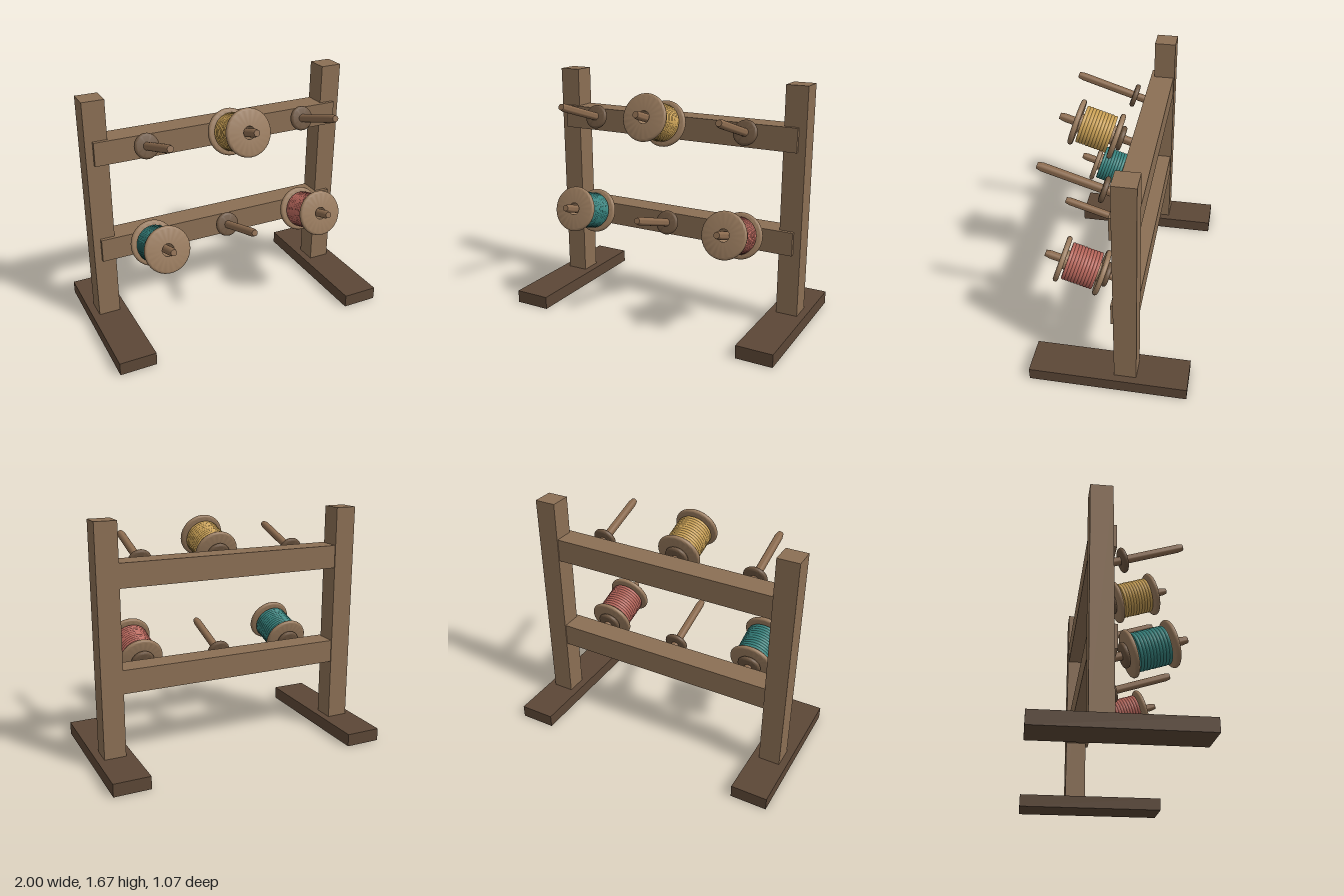
import * as THREE from 'three';
import { toCreasedNormals } from 'three/addons/utils/BufferGeometryUtils.js';

const mat = (color) => new THREE.MeshStandardMaterial({ color });
const wood = mat(0x8b6f54);
const darkWood = mat(0x5c4736);
const pegWood = mat(0x8a6a4e);
const collarWood = mat(0x6b543f);
const spoolWood = mat(0x987a5d);

function add(parent, name, geometry, material, x = 0, y = 0, z = 0) {
  const mesh = new THREE.Mesh(geometry, material);
  mesh.name = name;
  mesh.position.set(x, y, z);
  parent.add(mesh);
  return mesh;
}

// Turned part from [radius, height] pairs, listed upward on the outside
function turned(points, sides = 40) {
  const profile = points.map(([r, h]) => new THREE.Vector2(r, h));
  return toCreasedNormals(new THREE.LatheGeometry(profile, sides), 0.7);
}

// Disc with a rounded rim and an optional bore, centred on height 0
function disc(radius, thickness, bore = 0) {
  const t = thickness / 2;
  const points = [[bore, -t]];
  for (let i = 0; i <= 8; i++) {
    const a = -Math.PI / 2 + (Math.PI * i) / 8;
    points.push([radius - t + t * Math.cos(a), t * Math.sin(a)]);
  }
  points.push([bore, t]);
  if (bore) points.push([bore, -t]);
  return turned(points);
}

const BORE = 0.042;
const SPOOL_HALF = 0.138;

// Spool built along y: two flanges, a hollow core and wound thread
function makeSpool(name, color) {
  const spool = new THREE.Group();
  spool.name = name;
  for (const [label, side] of [['back', -1], ['front', 1]]) {
    add(spool, label + 'Flange', disc(0.158, 0.035, BORE), spoolWood, 0, side * SPOOL_HALF, 0);
  }
  const h = SPOOL_HALF;
  add(spool, 'core', turned([[BORE, -h], [0.065, -h], [0.065, h], [BORE, h], [BORE, -h]]), spoolWood);

  // Thread with shallow ridges from the windings
  const ridges = 10, half = 0.106, points = [[0.06, -half]];
  for (let i = 0; i <= ridges * 4; i++) {
    const r = 0.125 + 0.004 * Math.abs(Math.sin((Math.PI * i) / 4));
    points.push([r, -half + (2 * half * i) / (ridges * 4)]);
  }
  points.push([0.06, half]);
  add(spool, 'thread', turned(points), mat(color));
  return spool;
}

// Peg leaning upward out of the rail, with a collar at its root
function makePeg(name) {
  const peg = new THREE.Group();
  peg.name = name;
  peg.rotation.x = THREE.MathUtils.degToRad(72);
  add(peg, 'rod', turned([[0, -0.04], [0.028, -0.04], [0.028, 0.485], [0.021, 0.52], [0, 0.52]], 20), pegWood);
  add(peg, 'collar', disc(0.085, 0.035), collarWood, 0, 0.088, 0);
  return peg;
}

export function createModel() {
  const rack = new THREE.Group();
  rack.name = 'spoolRack';

  // Posts on long feet
  for (const [side, s] of [['left', 1], ['right', -1]]) {
    add(rack, side + 'Foot', new THREE.BoxGeometry(0.254, 0.09, 1.07), darkWood, s * 0.873, 0.045, 0);
    add(rack, side + 'Post', new THREE.BoxGeometry(0.15, 1.575, 0.15), wood, s * 0.875, 0.8775, -0.115);
  }

  // Rails, each with three pegs; some pegs hold a spool
  const rows = [
    { name: 'lower', y: 0.61, spools: [0x36827d, null, 0xb5655a] },
    { name: 'upper', y: 1.316, spools: [null, 0xc9a055, null] },
  ];
  const places = ['Right', 'Middle', 'Left'];
  for (const { name, y, spools } of rows) {
    add(rack, name + 'Rail', new THREE.BoxGeometry(1.8, 0.163, 0.168), wood, 0, y, -0.099);
    spools.forEach((color, i) => {
      const peg = makePeg(name + places[i] + 'Peg');
      peg.position.set((i - 1) * 0.577, y + 0.009, -0.015);
      rack.add(peg);
      if (color !== null) {
        const spool = makeSpool(name + places[i] + 'Spool', color);
        spool.position.y = 0.262;
        peg.add(spool);
      }
    });
  }
  return rack;
}
